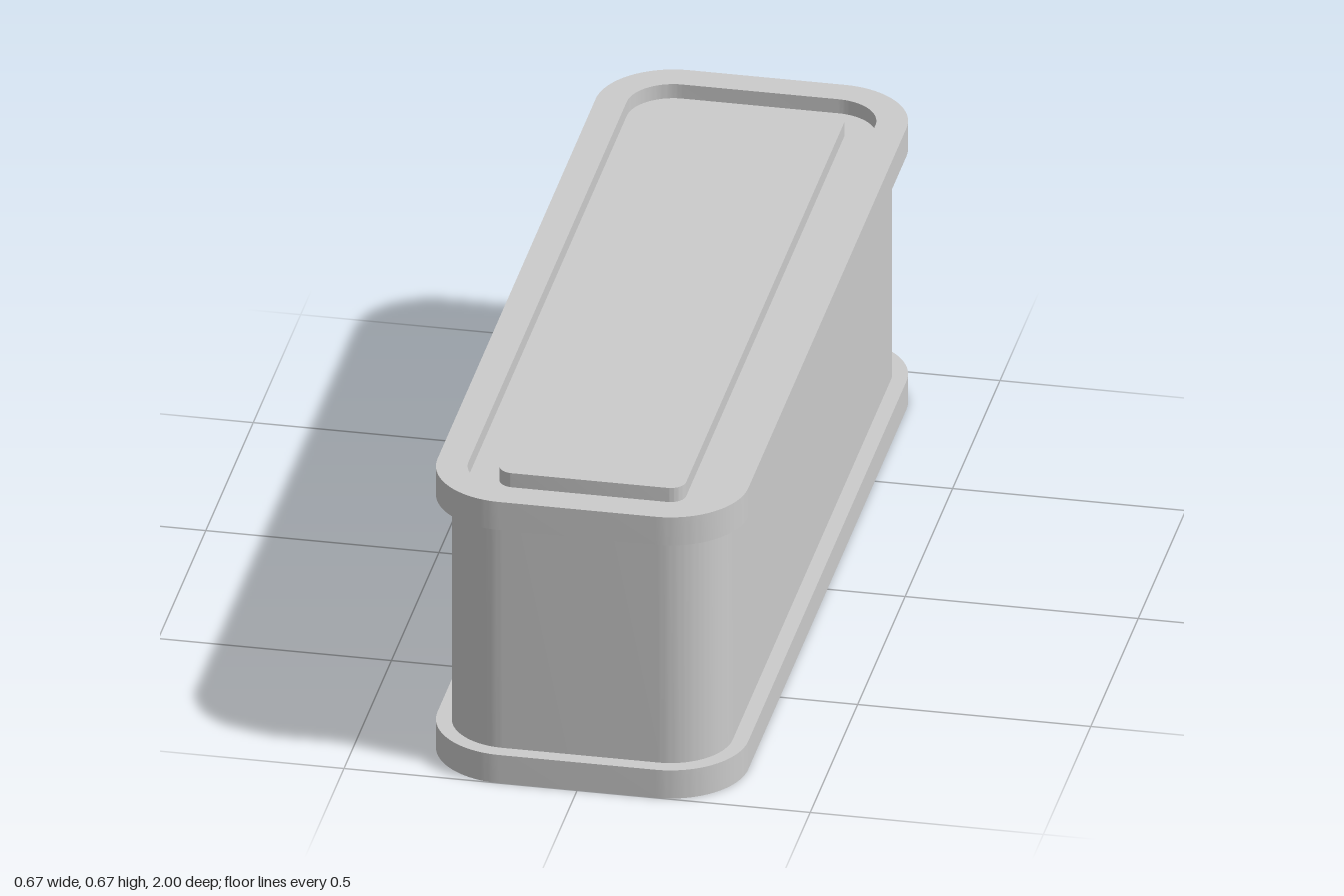
import * as THREE from 'three';
import { toCreasedNormals } from 'three/addons/utils/BufferGeometryUtils.js';

const material = new THREE.MeshStandardMaterial({ color: 0xcccccc });

// Rounded rectangle centred on the origin, given half sizes and corner radius
function roundedRect(Path, hx, hz, r) {
  const p = new Path();
  p.absarc(hx - r, hz - r, r, 0, Math.PI / 2);
  p.absarc(r - hx, hz - r, r, Math.PI / 2, Math.PI);
  p.absarc(r - hx, r - hz, r, Math.PI, Math.PI * 1.5);
  p.absarc(hx - r, r - hz, r, Math.PI * 1.5, Math.PI * 2);
  p.closePath();
  return p;
}

// Upright slab from y0 to y1 with smooth corners and sharp rims
function slab(name, shape, y0, y1) {
  const geometry = new THREE.ExtrudeGeometry(shape, {
    depth: y1 - y0, bevelEnabled: false, curveSegments: 16,
  });
  geometry.rotateX(-Math.PI / 2);
  geometry.translate(0, y0, 0);
  const mesh = new THREE.Mesh(toCreasedNormals(geometry, 0.5), material);
  mesh.name = name;
  return mesh;
}

export function createModel() {
  const group = new THREE.Group();
  group.name = 'box';

  const H = 2 / 3, RIM = H / 10, RECESS = RIM / 2;
  const outline = (inset) => [1 / 3 - inset, 1 - inset, 1 / 6 - inset];

  // Base flange
  group.add(slab('baseFlange', roundedRect(THREE.Shape, ...outline(0)), 0, RIM));

  // Body, whose top is the floor of the groove in the top rim
  group.add(slab('body', roundedRect(THREE.Shape, ...outline(1 / 30)), RIM, H - RECESS));

  // Top rim, an open frame around the body
  const frame = roundedRect(THREE.Shape, ...outline(0));
  frame.holes.push(roundedRect(THREE.Path, ...outline(1 / 15)));
  group.add(slab('topRim', frame, H - RIM, H));

  // Raised panel, level with the rim
  group.add(slab('topPanel', roundedRect(THREE.Shape, ...outline(2 / 15)), H - RECESS, H));

  return group;
}
